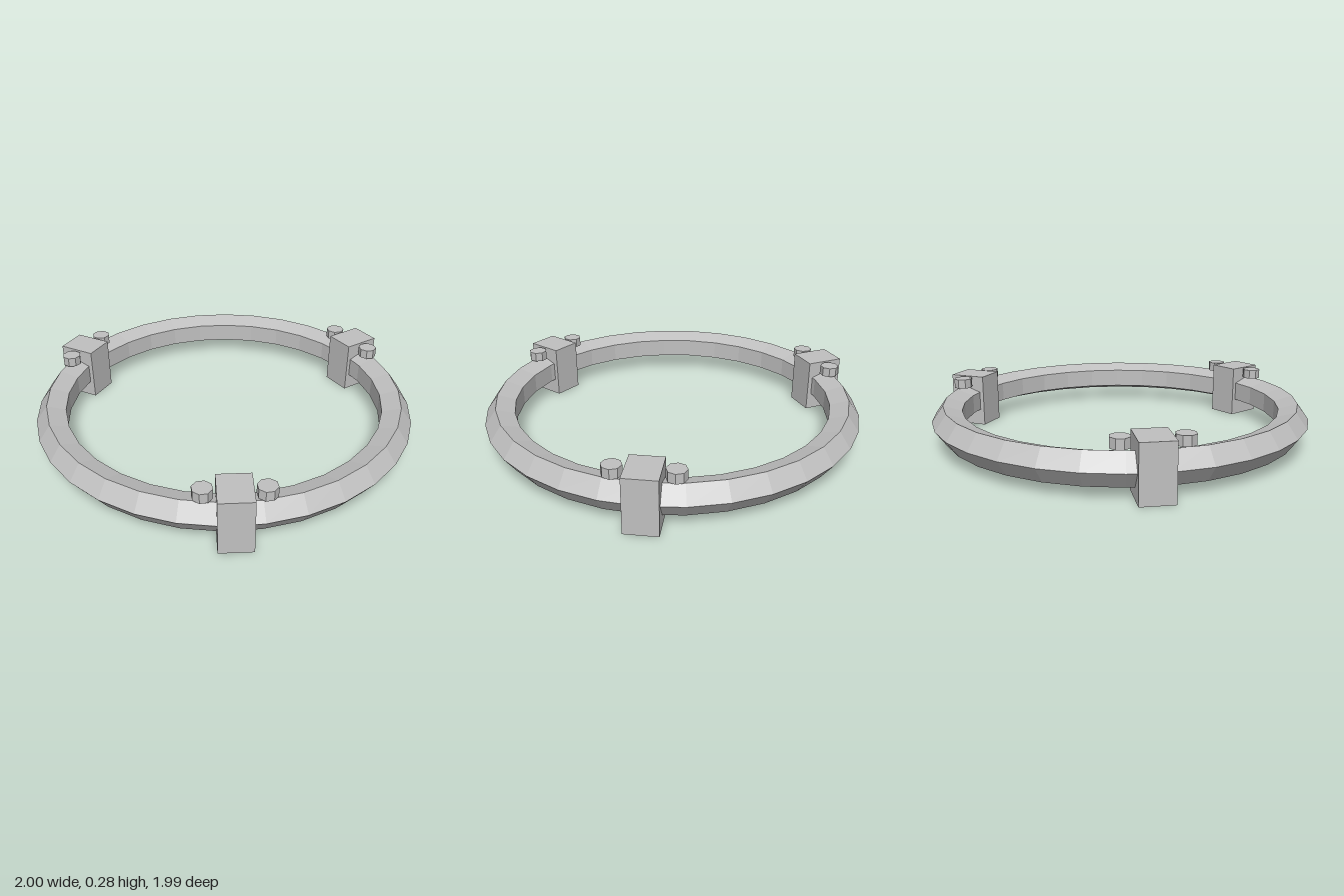
import * as THREE from 'three';

export function createModel() {
  const model = new THREE.Group();
  model.name = 'clampedRing';
  const metal = new THREE.MeshStandardMaterial({ color: 0xc0c0c0, flatShading: true });
  metal.name = 'light grey metal';

  const R = 0.907;      // ring centre-line radius
  const midY = 0.14;    // height of the ring's centre line
  const offsetX = -0.007;

  function add(name, geometry, x, y, z, parent) {
    const mesh = new THREE.Mesh(geometry, metal);
    mesh.name = name;
    mesh.position.set(x, y, z);
    parent.add(mesh);
    return mesh;
  }

  // Ring with a five-sided section, its ridge pointing outwards
  const ringGeometry = new THREE.TorusGeometry(R, 0.086, 5, 32);
  ringGeometry.rotateX(Math.PI / 2);
  add('ring', ringGeometry, offsetX, midY, 0, model);

  // Three clamp blocks, each flanked by a pair of bolt heads
  const blockGeometry = new THREE.BoxGeometry(0.2, 0.28, 0.164);
  const boltGeometry = new THREE.CylinderGeometry(0.049, 0.049, 0.05, 8);
  for (let i = 0; i < 3; i++) {
    const angle = (i * Math.PI * 2) / 3;
    const clamp = new THREE.Group();
    clamp.name = 'clamp' + (i + 1);
    clamp.position.x = offsetX;
    model.add(clamp);

    const block = add('clampBlock', blockGeometry, R * Math.cos(angle), midY, R * Math.sin(angle), clamp);
    block.rotation.y = -angle;

    for (const side of [-1, 1]) {
      const a = angle + side * 0.157;
      add('boltHead', boltGeometry, R * Math.cos(a), 0.254, R * Math.sin(a), clamp);
    }
  }
  return model;
}
